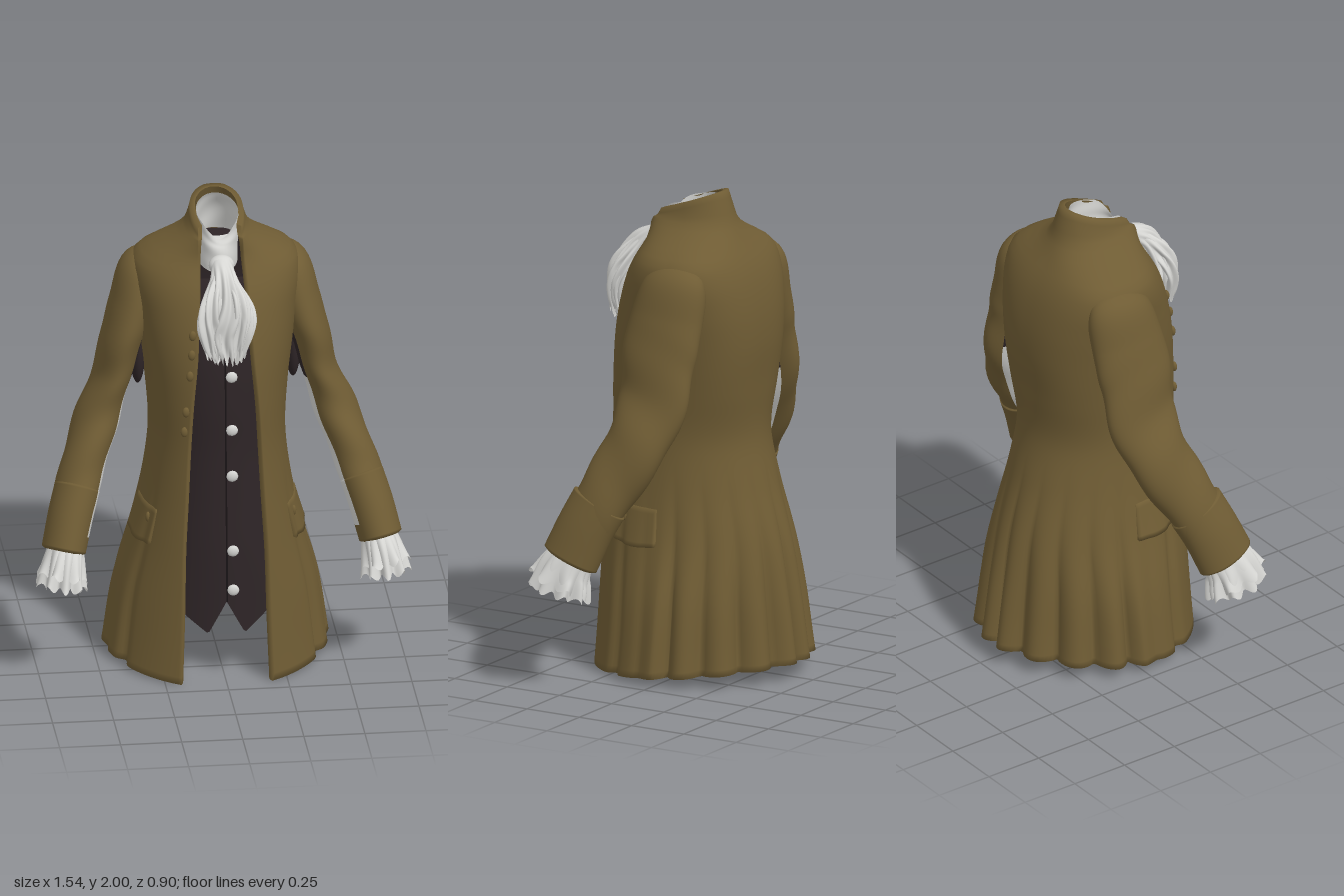
import * as THREE from 'three';

const paint = (name, color) => {
  const m = new THREE.MeshStandardMaterial({ color, side: THREE.DoubleSide });
  m.name = name;
  return m;
};

// Smooth interpolation through rows; the first argument is the parameter of each row
function spline(params, rows) {
  const f = new THREE.CubicInterpolant(params, rows.flat(), rows[0].length);
  return (t) => Array.from(f.evaluate(t));
}

// Surface from fn(i, j) -> [x, y, z]; s = -1 mirrors it, pick(i, j) chooses a material slot
function grid(nu, nv, fn, { closed = false, s = 1, pick = () => 0 } = {}) {
  const pos = [], faces = [[], [], []], cols = closed ? nu : nu + 1;
  for (let j = 0; j <= nv; j++)
    for (let i = 0; i < cols; i++) {
      const p = fn(i, j);
      pos.push(p[0] * s, p[1], p[2]);
    }
  for (let j = 0; j < nv; j++)
    for (let i = 0; i < nu; i++) {
      const a = j * cols + i, b = j * cols + ((i + 1) % cols), c = b + cols, d = a + cols;
      faces[pick(i, j)].push(...(s > 0 ? [a, b, c, a, c, d] : [a, c, b, a, d, c]));
    }
  const g = new THREE.BufferGeometry();
  g.setAttribute('position', new THREE.Float32BufferAttribute(pos, 3));
  g.setIndex(faces.flat());
  let start = 0;
  faces.forEach((f, k) => {
    if (f.length) g.addGroup(start, f.length, k);
    start += f.length;
  });
  g.computeVertexNormals();
  return g;
}

// Elliptical tube through rows of [x, y, z, radius across, radius front to back]
function loft(rows, { n = 40, steps = 30, s = 1, ripple = () => 1, jag = () => 0, pick } = {}) {
  const at = spline(rows.map((_, k) => k), rows), T = rows.length - 1;
  const Z = new THREE.Vector3(0, 0, 1);
  return grid(n, steps, (i, j) => {
    const t = j / steps, a = (i / n) * Math.PI * 2, r = at(t * T);
    const p = new THREE.Vector3(...at(Math.max(0, t * T - 0.05)));
    const dir = new THREE.Vector3(...at(Math.min(T, t * T + 0.05))).sub(p).normalize();
    const v = Z.clone().addScaledVector(dir, -dir.z).normalize();
    const u = new THREE.Vector3().crossVectors(v, dir), k = ripple(a, t);
    return new THREE.Vector3(r[0], r[1], r[2])
      .addScaledVector(u, Math.cos(a) * r[3] * k)
      .addScaledVector(v, Math.sin(a) * r[4] * k)
      .addScaledVector(dir, jag(a, t)).toArray();
  }, { closed: true, s, pick });
}

// Coat sections by height: half width, centre z, front z, back z, half opening
const heights = [0, 0.3, 0.57, 0.8, 1, 1.2, 1.4, 1.55, 1.68, 1.75, 1.79, 1.83, 1.87, 1.93, 2];
const section = spline(heights, [
  [0.465, 0, 0.475, -0.455, 0.185], [0.42, 0, 0.458, -0.415, 0.175],
  [0.348, 0.02, 0.445, -0.365, 0.17], [0.3, 0.04, 0.425, -0.295, 0.158],
  [0.278, 0.05, 0.41, -0.252, 0.148], [0.288, 0.04, 0.405, -0.262, 0.135],
  [0.312, 0.03, 0.385, -0.278, 0.115], [0.332, 0.01, 0.35, -0.268, 0.105],
  [0.344, 0, 0.3, -0.235, 0.096], [0.322, 0, 0.26, -0.2, 0.092],
  [0.265, 0.015, 0.24, -0.172, 0.09], [0.197, 0.035, 0.24, -0.147, 0.09],
  [0.145, 0.045, 0.25, -0.122, 0.09], [0.122, 0.05, 0.26, -0.102, 0.089],
  [0.108, 0.05, 0.245, -0.078, 0.088]]);
const smooth = THREE.MathUtils.smoothstep;
const frontPower = (y) => 1.9 + 0.3 * smooth(y, 0.1, 1);
const backPower = (y) => 1.7 + 0.3 * smooth(y, 0.1, 0.9)
  + 0.55 * smooth(y, 0.95, 1.3) * (1 - smooth(y, 1.74, 1.87));
const frontAngle = (y) => {
  const [w, , , , g] = section(y);
  return Math.asin(Math.pow(g / w, frontPower(y) / 2));
};

// Point on the coat at angle a from the front, moved outward by off
function coatPoint(a, y, off = 0, pleats = 1) {
  const [w, zc, zf, zb] = section(y), front = Math.cos(a) > 0;
  const e = 2 / (front ? frontPower(y) : backPower(y)), sn = Math.sin(a), cs = Math.cos(a);
  const b = Math.abs(Math.PI - a);
  // round pleats around the back of the skirt and one fold at each front panel
  const skirt = pleats * (1 - smooth(y, 0.05, 0.95));
  const pleat = (1 - smooth(b, 1.4, 1.9)) * (1 - Math.abs(Math.sin(9 * b)) ** 0.8);
  const fold = Math.exp(-(((b - 2.05) / 0.06) ** 2));
  const k = 1 - skirt * (0.14 * pleat + 0.06 * fold);
  const x = Math.sign(sn) * Math.pow(Math.abs(sn), e) * (w + off) * k;
  const depth = front ? zf - zc + off : zc - zb + off;
  const z = zc + Math.sign(cs) * Math.pow(Math.abs(cs), e) * depth * k;
  const hem = 0.07 * (0.43 - z) / 0.87 * Math.max(0, 1 - y / 0.6);
  const drop = 0.1 * Math.max(0, z + 0.07) / 0.28 * smooth(y, 1.85, 2);
  return [x, Math.max(0, y + hem - drop), z];
}

// Depth of the chest, used by the waistcoat and the buttons
function chestZ(x, y, off) {
  const [w, zc, zf] = section(y), n = frontPower(y);
  const r = Math.min(1, Math.abs(x) / (w + off));
  return zc + (zf + off - zc) * Math.pow(1 - Math.pow(r, n), 1 / n);
}

export function createModel() {
  const model = new THREE.Group();
  const cloth = paint('olive cloth', 0x6f5c34);
  const dark = paint('dark cloth', 0x2d2426);
  const seam = paint('seam', 0x181315);
  const linen = paint('white linen', 0xd6d6d3);
  const add = (name, geometry, material) => {
    const m = new THREE.Mesh(geometry, material);
    m.name = name;
    model.add(m);
    return m;
  };

  // Coat shell with turned-in edges
  const NU = 180, NV = 70, IN = -0.022;
  const across = (u, y) => {
    const a0 = frontAngle(y);
    return a0 + u * 2 * (Math.PI - a0);
  };
  add('coat', grid(NU, NV, (i, j) => {
    const edge = i === 0 || j === 0 || i === NU || j === NV;
    const u = THREE.MathUtils.clamp((i - 1) / (NU - 2), 0, 1);
    const y = 2 * THREE.MathUtils.clamp((j - 1) / (NV - 2), 0, 1);
    return coatPoint(across(u, y), y, edge ? IN : 0);
  }), cloth);

  // Lining, dark above the hem and the front facings; flatter than the pleats outside
  const facing = (i, j) => j > 62 || j < 1 || (j < 10 && Math.abs(i / NU - 0.5) > 0.32);
  add('coatLining', grid(NU, NV, (i, j) => {
    const y = 2 * j / NV, a = across(i / NU, y);
    const back = smooth(Math.PI - Math.abs(Math.PI - a), 1.1, 1.7) * (1 - smooth(y, 0.5, 0.95));
    return coatPoint(a, y, IN - 0.035 * back, 1 - 0.8 * back);
  }, { pick: (i, j) => (facing(i, j) ? 1 : 0) }), [dark, cloth]);

  // Waistcoat front with two points at the bottom
  const bottom = (x) => {
    const d = Math.abs(x);
    return d < 0.075 ? 0.36 - d * 1.87 : 0.22 + (d - 0.075) * 0.8;
  };
  add('waistcoat', grid(48, 50, (i, j) => {
    const f = i / 24 - 1, y0 = bottom(f * 0.24), y = y0 + (1.72 - y0) * j / 50;
    const x = f * Math.min(0.24, section(y)[0] * 0.85);
    return [x, y, chestZ(x, y, -0.03)];
  }), dark);
  add('waistcoatSeam', grid(1, 40, (i, j) => {
    const x = i * 0.007 - 0.002, y = 0.36 + 1.2 * j / 40;
    return [x, y, chestZ(x, y, -0.026)];
  }), seam);
  for (const y of [1.33, 1.1, 0.9, 0.58, 0.41]) {
    const b = add('waistcoatButton', new THREE.IcosahedronGeometry(0.025, 1), linen);
    b.position.set(0.027, y, chestZ(0.027, y, -0.026));
    b.scale.z = 0.5;
  }

  // Coat buttons beside the right front edge
  for (const y of [1.51, 1.43, 1.34, 1.18, 1.09]) {
    const x = -section(y)[4] - 0.022;
    const b = add('coatButton', new THREE.SphereGeometry(0.022, 14, 10), cloth);
    b.position.set(x, y, chestZ(x, y, 0.002));
    b.scale.set(0.7, 1, 0.5);
  }

  // Neck stock dipping at the front, its inside and the knot
  add('neckStock', loft([[0, 1.95, 0.08, 0.086, 0.118], [0, 1.86, 0.06, 0.088, 0.146],
    [0, 1.74, 0.055, 0.084, 0.172]], {
    ripple: (a, t) => 1 + 0.012 * Math.sin(t * 14 + 3 * a),
    jag: (a, t) => 0.06 * (1 - t) ** 3 * Math.max(0, Math.sin(a)) ** 4
  }), linen);
  const disc = (name, r, y, z, material) => {
    const d = add(name, new THREE.CircleGeometry(r, 32).rotateX(-Math.PI / 2), material);
    d.position.set(0, y, z);
    return d;
  };
  disc('neckInside', 0.086, 1.8, 0.05, cloth).scale.z = 1.6;
  disc('neckBand', 0.075, 1.805, 0.0, linen).scale.z = 0.85;
  disc('neckHollow', 0.07, 1.81, -0.02, dark).scale.z = 0.6;
  const knot = add('cravatKnot', new THREE.SphereGeometry(0.05, 20, 14), linen);
  knot.position.set(0, 1.775, 0.24);
  knot.scale.set(1.05, 0.85, 0.9);

  // Cravat: a full gathered fall with a lobe on each side
  const frill = (k, amp) => ({
    n: 96, ripple: (a, t) => 1 + amp * Math.sin(k * a + 3 * Math.sin(6 * t)) * smooth(t, 0, 0.4),
    jag: (a, t) => 0.02 * t ** 4 * Math.sin((k + 4) * a)
  });
  add('cravatFall', loft([[0, 1.79, 0.245, 0.04, 0.032], [0.003, 1.72, 0.315, 0.06, 0.06],
    [0.012, 1.61, 0.358, 0.1, 0.066], [0.012, 1.52, 0.37, 0.095, 0.06],
    [0.012, 1.42, 0.385, 0.05, 0.045]], frill(11, 0.16)), linen);
  for (const s of [1, -1])
    add('cravatLobe', loft([[0.015, 1.77, 0.28, 0.022, 0.025], [0.046, 1.67, 0.368, 0.04, 0.04],
      [0.066, 1.57, 0.39, 0.044, 0.042], [0.045, 1.45, 0.4, 0.032, 0.032]],
    { ...frill(7, 0.22), s }), linen);

  // Sleeves, cuffs, ruffles and pockets, one per side
  const underside = (i, n) => {
    const d = (i + 0.5) / n * Math.PI * 2 - Math.PI;
    return d > -0.62 && d < 0.75;
  };
  for (const s of [1, -1]) {
    const side = s > 0 ? 'left' : 'right';
    add(side + 'Sleeve', loft([
      [0.25, 1.69, -0.03, 0.035, 0.08], [0.3, 1.662, -0.03, 0.085, 0.14],
      [0.34, 1.52, -0.01, 0.09, 0.163], [0.383, 1.38, 0, 0.082, 0.168],
      [0.428, 1.2, 0, 0.075, 0.155], [0.492, 1.03, 0.04, 0.088, 0.14],
      [0.555, 0.86, 0.12, 0.088, 0.125], [0.61, 0.7, 0.2, 0.085, 0.118],
      [0.645, 0.56, 0.255, 0.08, 0.112]], {
      n: 48, steps: 64, s,
      // soft wrinkles around the elbow
      ripple: (a, t) => 1 + 0.04 * Math.sin(34 * t + 2 * a) * smooth(t, 0.25, 0.5),
      pick: (i, j) => !underside(i, 48) || j < 21 ? 0 : j < 32 ? 1 : 2
    }), [cloth, dark, linen]);
    add(side + 'Cuff', loft([[0.58, 0.79, 0.16, 0.091, 0.127], [0.615, 0.68, 0.21, 0.091, 0.125],
      [0.65, 0.545, 0.262, 0.089, 0.127]], {
      n: 48, steps: 40, s, ripple: (a, t) => (t < 0.01 || t > 0.99 ? 0.88 : 1),
      pick: (i, j) => (underside(i, 48) && j < 30 ? 2 : 0)
    }), [cloth, dark, linen]);
    for (const [k, len] of [[9, 0.09], [7, 0.055]])
      add(side + 'Ruffle', loft([[0.635, 0.58, 0.245, 0.068, 0.095], [0.652, 0.5, 0.285, 0.084, 0.112],
        [0.664, 0.5 - len, 0.305, 0.094, 0.125]], {
        n: 108, steps: 16, s, ripple: (a, t) => 1 + 0.15 * t * Math.sin(k * a),
        jag: (a, t) => 0.012 * t * t * Math.sin((k + 4) * a)
      }), linen);

    // Dark gusset under the arm
    const gusset = add(side + 'Gusset', new THREE.SphereGeometry(1, 20, 16), dark);
    gusset.position.set(0.318 * s, 1.3, 0.01);
    gusset.scale.set(0.03, 0.13, 0.055);

    // Pocket flap on the hip with a curved lower edge and a button
    add(side + 'PocketFlap', grid(20, 10, (i, j) => {
      const edge = i === 0 || i === 20 || j === 0 || j === 10;
      const u = THREE.MathUtils.clamp((i - 1) / 18, 0, 1);
      const v = THREE.MathUtils.clamp((j - 1) / 8, 0, 1);
      const y0 = 0.56 - 0.012 * Math.sin(u * Math.PI);
      return coatPoint(0.98 + u * 0.55, y0 + (0.71 - y0) * v, edge ? -0.01 : 0.014 - 0.01 * v);
    }, { s }), cloth);
    const b = add(side + 'PocketButton', new THREE.SphereGeometry(0.022, 12, 10), cloth);
    const p = coatPoint(1.12, 0.66, 0.006);
    b.position.set(p[0] * s, p[1], p[2]);
    b.scale.set(0.5, 1, 0.5);
  }
  return model;
}
